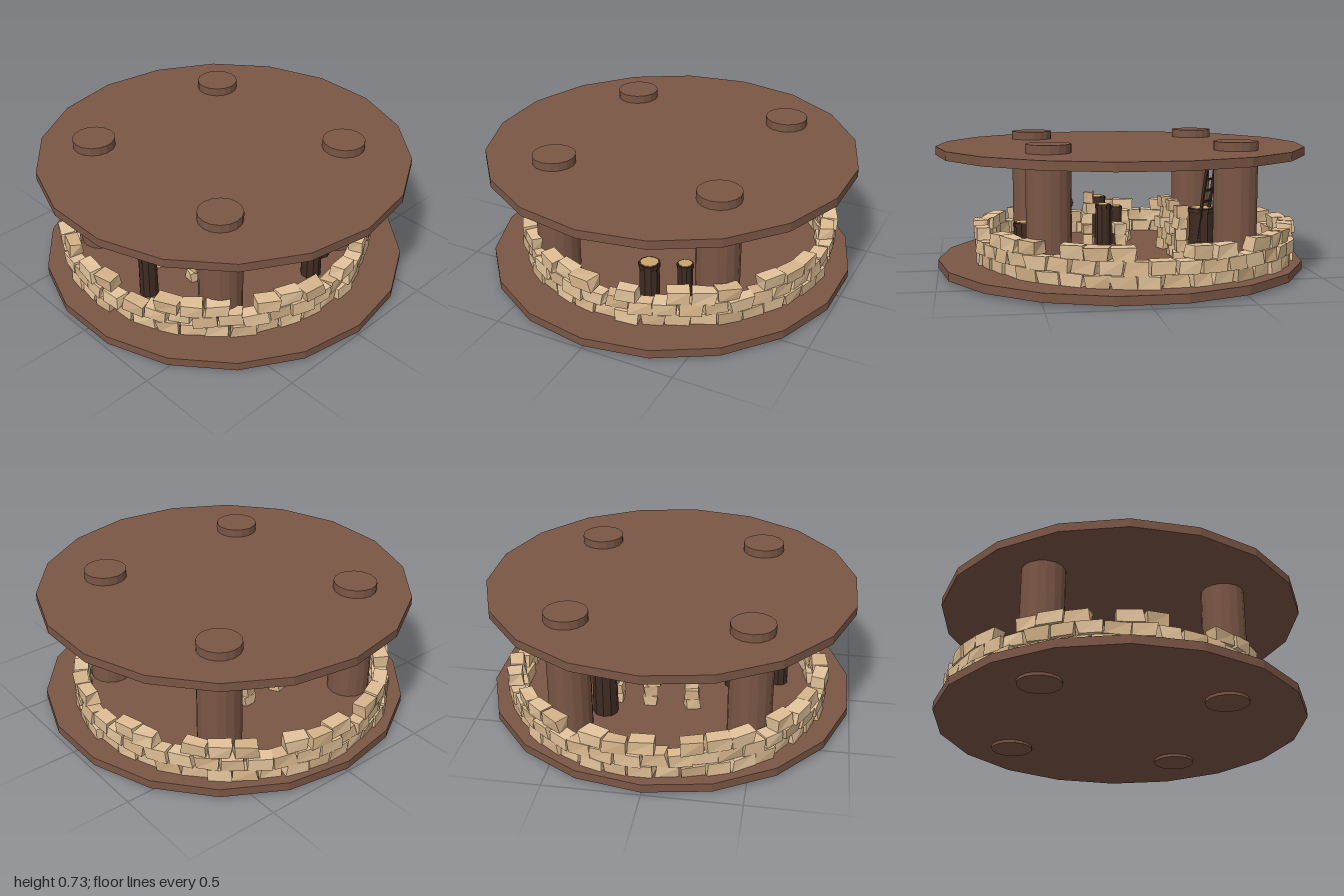
import * as THREE from 'three';

const mat = (color) => new THREE.MeshStandardMaterial({ color, flatShading: true });

export function createModel() {
  const model = new THREE.Group();
  const wood = mat(0x7a5645);
  const darkWood = mat(0x3f2b22);
  const cutWood = mat(0xc9a56c);
  const stones = [mat(0xdfbe94), mat(0xd6b48a), mat(0xe3c49c)];

  // small seeded generator
  let seed = 7;
  const rnd = () => (seed = (seed * 16807) % 2147483647) / 2147483647;
  const vary = (a) => (rnd() * 2 - 1) * a;

  const add = (name, geo, material, x, y, z, parent = model) => {
    const m = new THREE.Mesh(geo, material);
    m.name = name;
    m.position.set(x, y, z);
    parent.add(m);
    return m;
  };

  // floor and roof discs, 18-sided
  add('floorDisc', new THREE.CylinderGeometry(1, 1, 0.046, 18), wood, 0, 0.039, 0);
  add('roofDisc', new THREE.CylinderGeometry(1, 1, 0.046, 18), wood, 0, 0.657, 0);

  // four thick posts passing through both discs
  const posts = [[-0.48, -0.51], [0.455, -0.53], [-0.46, 0.455], [0.475, 0.435]];
  posts.forEach(([x, z]) =>
    add('post', new THREE.CylinderGeometry(0.115, 0.115, 0.725, 16), wood, x, 0.3625, z));
  add('postKnot', new THREE.SphereGeometry(0.035, 6, 4), wood, 0.475, 0.43, 0.343);

  // rough-hewn stone: a box whose eight corners are nudged
  function stoneGeometry(w, h, d) {
    const geo = new THREE.BoxGeometry(w, h, d);
    const corners = Array.from({ length: 8 }, () => [vary(0.09) * w, vary(0.06) * h, vary(0.1) * d]);
    const p = geo.attributes.position;
    for (let i = 0; i < p.count; i++) {
      const k = (p.getX(i) > 0 ? 1 : 0) + (p.getY(i) > 0 ? 2 : 0) + (p.getZ(i) > 0 ? 4 : 0);
      const [a, b, c] = corners[k];
      p.setXYZ(i, p.getX(i) + a, p.getY(i) + b, p.getZ(i) + c);
    }
    geo.computeVertexNormals();
    return geo;
  }

  // ring wall: two full courses and a gappy third
  const wall = new THREE.Group();
  wall.name = 'stoneWall';
  wall.position.set(0.01, 0, -0.075);
  model.add(wall);
  const count = 42;
  for (let row = 0; row < 3; row++) {
    for (let i = 0; i < count; i++) {
      if (row === 2 && (i % 4 === 1 || i % 11 === 10)) continue;
      const a = ((i + row * 0.5) / count) * Math.PI * 2;
      const r = 0.825 + row * 0.005 + vary(0.012);
      const s = add('wallStone', stoneGeometry(0.118 + vary(0.006), 0.067, 0.075),
        stones[(i * 2 + row) % 3], Math.sin(a) * r, 0.092 + row * 0.068, Math.cos(a) * r, wall);
      s.rotation.set(vary(0.03), a + vary(0.09), vary(0.04));
    }
  }

  // loose stacks of stones inside the ring: x, z, courses
  const stacks = [[-0.15, -0.28, 5], [0.06, -0.3, 5], [0.26, -0.28, 5],
    [-0.35, 0.14, 5], [0.02, 0.0, 3], [-0.43, -0.1, 3]];
  stacks.forEach(([x, z, n]) => {
    const stack = new THREE.Group();
    stack.name = 'stoneStack';
    model.add(stack);
    for (let i = 0; i < n; i++) {
      const s = add('stackStone', stoneGeometry(0.073, 0.06, 0.06), stones[i % 3],
        x + vary(0.014), 0.092 + i * 0.0615, z + vary(0.014), stack);
      s.rotation.y = vary(0.35);
    }
  });

  // upright cut logs: x, z, radius, top
  const logs = [[0.14, 0.54, 0.055, 0.28], [0.31, 0.47, 0.042, 0.28], [-0.6, 0.05, 0.052, 0.31],
    [-0.25, 0.06, 0.045, 0.31], [-0.34, -0.03, 0.035, 0.285], [0.3, -0.39, 0.068, 0.36]];
  logs.forEach(([x, z, r, top]) => {
    const log = new THREE.Group();
    log.name = 'log';
    log.position.set(x, 0, z);
    model.add(log);
    const h = top - 0.06;
    add('logBark', new THREE.CylinderGeometry(r * 0.95, r, h, 10), darkWood, 0, 0.06 + h / 2, 0, log);
    add('logRim', new THREE.CylinderGeometry(r * 1.06, r * 1.06, 0.02, 10), darkWood, 0, top - 0.012, 0, log);
    add('logCutFace', new THREE.CylinderGeometry(r * 0.85, r * 0.85, 0.006, 10), cutWood, 0, top, 0, log);
  });

  // ladder leaning on the back left post
  const ladder = new THREE.Group();
  ladder.name = 'ladder';
  ladder.position.set(0.335, 0.34, -0.4);
  ladder.rotation.set(-0.15, -Math.PI / 4, 0, 'YXZ');
  model.add(ladder);
  for (const side of [-1, 1])
    add('ladderRail', new THREE.BoxGeometry(0.012, 0.56, 0.014), darkWood, side * 0.04, 0, 0, ladder);
  for (let i = 0; i < 9; i++)
    add('ladderRung', new THREE.BoxGeometry(0.08, 0.01, 0.01), darkWood, 0, -0.24 + i * 0.06, 0, ladder);

  return model;
}
